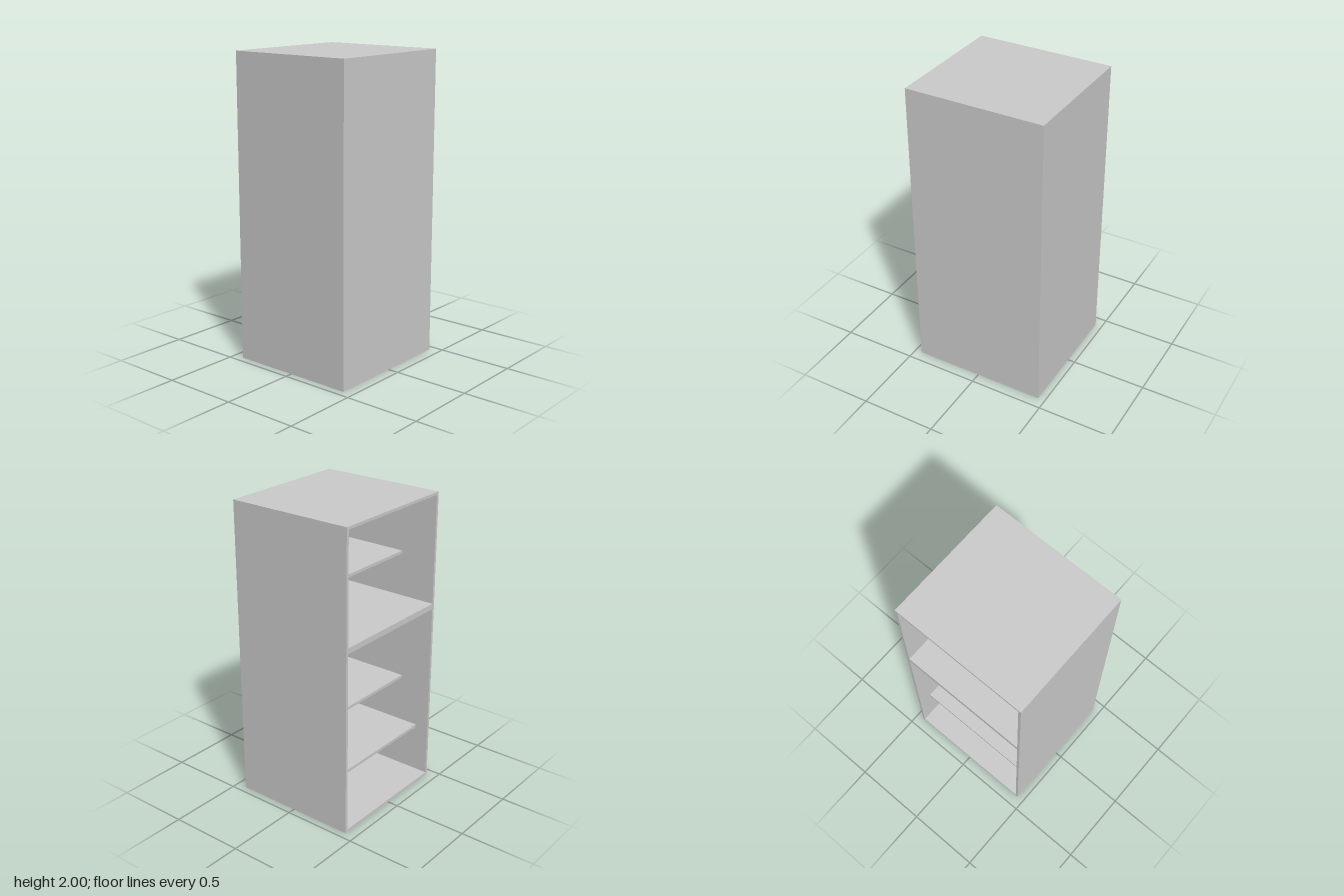
import * as THREE from 'three';

const W = 0.855, H = 2, D = 0.905, T = 0.018; // outer size and panel thickness

export function createModel() {
  const cabinet = new THREE.Group();
  cabinet.name = 'cabinet';
  const material = new THREE.MeshStandardMaterial({ color: 0xcccccc });

  // box given by its minimum and maximum corners
  const panel = (name, [x0, y0, z0], [x1, y1, z1]) => {
    const mesh = new THREE.Mesh(new THREE.BoxGeometry(x1 - x0, y1 - y0, z1 - z0), material);
    mesh.position.set((x0 + x1) / 2, (y0 + y1) / 2, (z0 + z1) / 2);
    mesh.name = name;
    cabinet.add(mesh);
  };
  const x = W / 2, z = D / 2;

  // carcass, open towards -x
  panel('frontWall', [-x, 0, z - T], [x, H, z]);
  panel('rearWall', [-x, 0, -z], [x, H, -z + T]);
  panel('closedWall', [x - T, 0, -z + T], [x, H, z - T]);

  // full-depth panels: [name, bottom, top]
  for (const [name, y0, y1] of [
    ['bottomPanel', 0, T],
    ['divider', 1.23, 1.268],
    ['topPanel', H - T, H],
  ]) panel(name, [-x, y0, -z + T], [x - T, y1, z - T]);

  // shelves set back from the opening: [top height, setback]
  for (const [top, setback] of [[0.361, 0.093], [0.696, 0.22], [1.573, 0.244]]) {
    panel('shelf', [-x + setback, top - 0.02, -z + T], [x - T, top, z - T]);
  }
  return cabinet;
}
